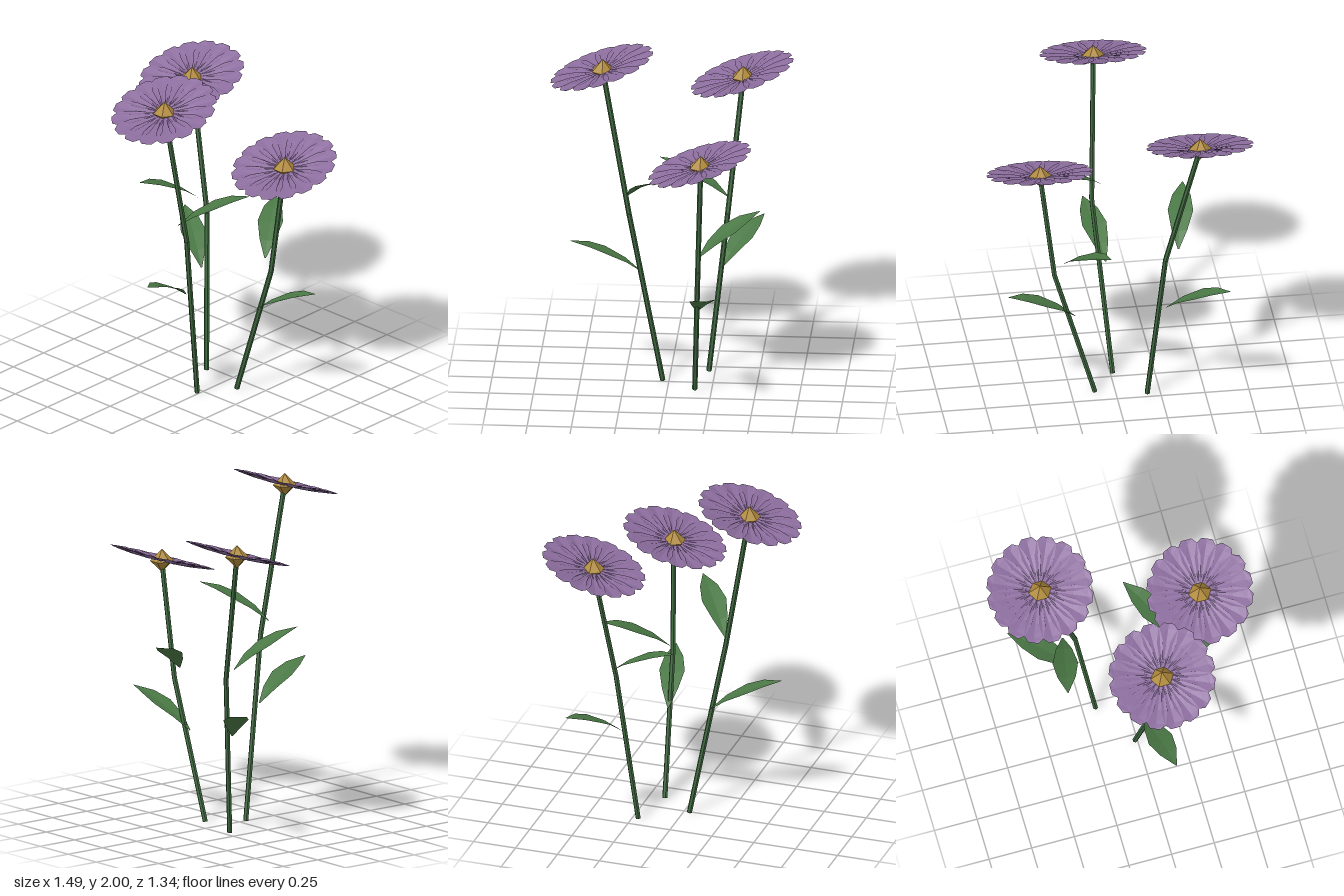
import * as THREE from 'three';

const mat = (color, side = THREE.FrontSide) =>
  new THREE.MeshStandardMaterial({ color, flatShading: true, side });

// Creased blade along +z from rows of [distance, half width, height, edge lift]
function bladeGeometry(rows) {
  const pos = [], idx = [];
  rows.forEach(([d, w, h, lift]) => pos.push(-w, h + lift, d, 0, h, d, w, h + lift, d));
  for (let r = 0; r < rows.length - 1; r++) {
    for (let c = 0; c < 2; c++) {
      const a = r * 3 + c, b = a + 1, e = a + 3, f = a + 4;
      idx.push(a, e, b, b, e, f);
    }
  }
  const g = new THREE.BufferGeometry();
  g.setAttribute('position', new THREE.Float32BufferAttribute(pos, 3));
  g.setIndex(idx);
  g.computeVertexNormals();
  return g;
}

// Straight stem piece between two points
function stemPiece(a, b, material) {
  const dir = b.clone().sub(a);
  const m = new THREE.Mesh(new THREE.CylinderGeometry(0.015, 0.015, dir.length(), 6), material);
  m.position.copy(a).add(b).multiplyScalar(0.5);
  m.quaternion.setFromUnitVectors(new THREE.Vector3(0, 1, 0), dir.normalize());
  m.name = 'stem';
  return m;
}

export function createModel() {
  const model = new THREE.Group();
  model.name = 'flowers';

  const stemMat = mat(0x3f683f);
  const leafMat = mat(0x4a7845, THREE.DoubleSide);
  const petalMat = mat(0x8c6d9e, THREE.DoubleSide);
  const hubMat = mat(0xb08a3c);

  const leafGeo = bladeGeometry([
    [0, 0.004, 0, 0], [0.09, 0.045, 0.067, 0.008], [0.2, 0.072, 0.126, 0.012],
    [0.3, 0.052, 0.172, 0.008], [0.405, 0.002, 0.205, 0],
  ]);
  const petalGeo = bladeGeometry([
    [0.03, 0.006, 0, 0], [0.1, 0.03, -0.004, 0.01], [0.19, 0.056, 0.002, 0.014],
    [0.27, 0.056, 0.012, 0.01], [0.302, 0.03, 0.018, 0.001],
  ]);
  const hubGeo = new THREE.SphereGeometry(0.067, 6, 2);

  // foot, bend and head of each stem, and [share of stem, x, z direction] of its leaves
  const flowers = [
    { foot: [-0.175, 0.002, -0.215], bend: [-0.265, 0.92, -0.315], head: [-0.452, 1.677, -0.39],
      leaves: [[0.35, -0.335, -0.22], [0.59, -0.08, 0.4]] },
    { foot: [-0.013, 0.002, 0.035], bend: [0.08, 1.04, 0.22], head: [0.05, 1.89, 0.37],
      leaves: [[0.35, 0.075, 0.39], [0.595, 0.33, -0.245]] },
    { foot: [0.115, 0.002, -0.155], bend: [0.35, 0.8, -0.188], head: [0.435, 1.467, -0.21],
      leaves: [[0.35, 0.39, -0.086], [0.59, -0.235, -0.34]] },
  ];

  for (const f of flowers) {
    const flower = new THREE.Group();
    flower.name = 'flower';
    const [foot, bend, head] = [f.foot, f.bend, f.head].map((p) => new THREE.Vector3(...p));
    flower.add(stemPiece(foot, bend, stemMat), stemPiece(bend, head, stemMat));

    // leaves
    for (const [t, dx, dz] of f.leaves) {
      const leaf = new THREE.Mesh(leafGeo, leafMat);
      leaf.name = 'leaf';
      leaf.position.lerpVectors(foot, head, t);
      leaf.rotation.y = Math.atan2(dx, dz);
      flower.add(leaf);
    }

    // ring of petals, tilted to the front
    const petals = new THREE.Group();
    petals.name = 'petals';
    petals.position.copy(head);
    petals.rotation.x = 0.305;
    const count = 16;
    for (let i = 0; i < count; i++) {
      const petal = new THREE.Mesh(petalGeo, petalMat);
      petal.name = 'petal';
      petal.rotation.y = (i / count) * Math.PI * 2;
      petals.add(petal);
    }
    flower.add(petals);

    // faceted centre
    const hub = new THREE.Mesh(hubGeo, hubMat);
    hub.name = 'flowerCentre';
    hub.position.copy(head);
    flower.add(hub);

    model.add(flower);
  }
  return model;
}
